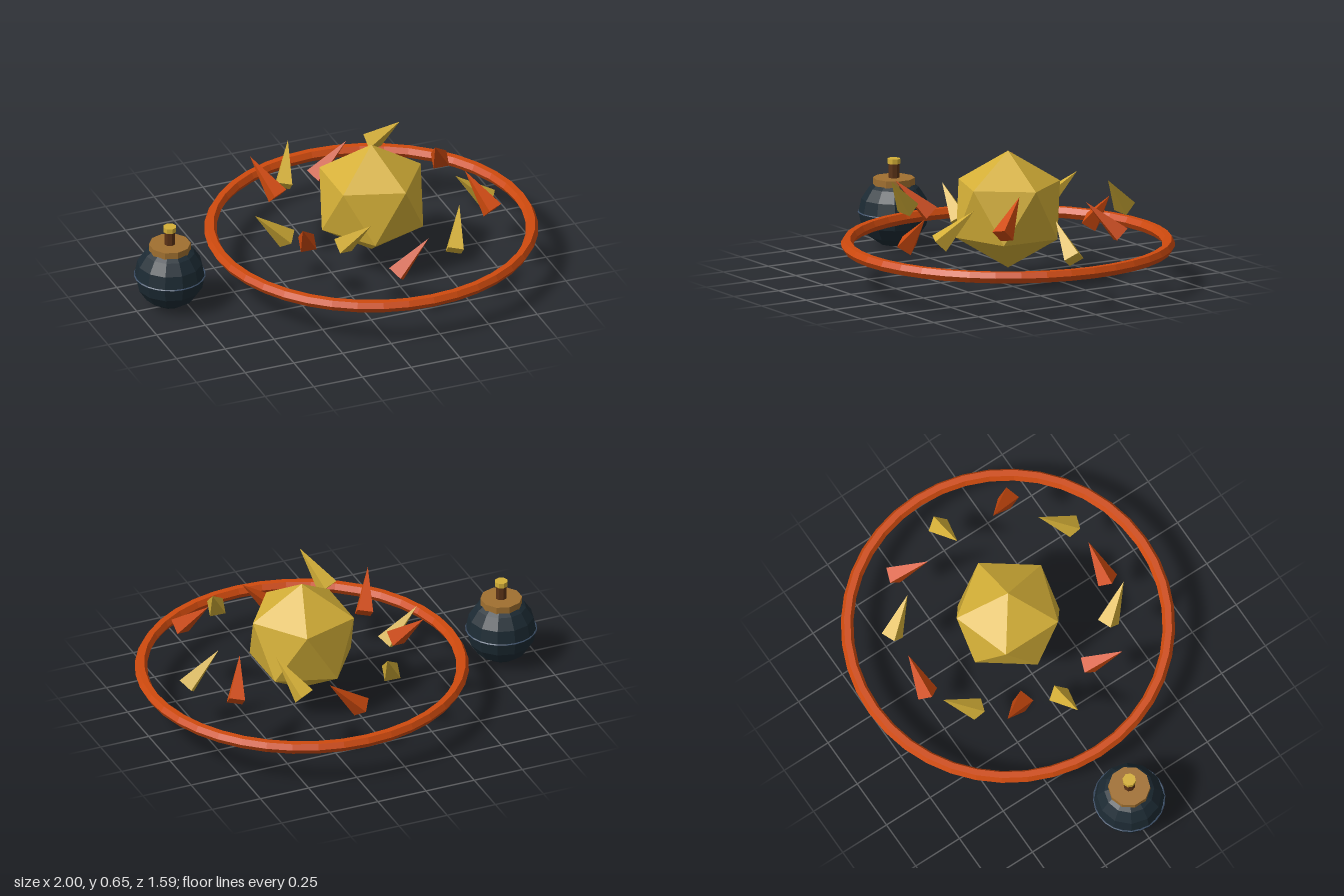
import * as THREE from 'three';

const paint = (name, color) => {
  const m = new THREE.MeshStandardMaterial({ color });
  m.name = name;
  return m;
};

// Faceted copy of a geometry
function facet(geometry) {
  const g = geometry.index ? geometry.toNonIndexed() : geometry;
  g.computeVertexNormals();
  return g;
}

function add(parent, name, geometry, material, x, y, z) {
  const mesh = new THREE.Mesh(facet(geometry), material);
  mesh.name = name;
  mesh.position.set(x, y, z);
  parent.add(mesh);
  return mesh;
}

export function createModel() {
  const gold = paint('gold', 0xd4af37);
  const orange = paint('burnt orange', 0xcf4a0e);
  const navy = paint('dark slate', 0x1c2a33);
  const steel = paint('blue steel', 0x3d5068);
  const brass = paint('brass', 0xa07030);
  const brown = paint('dark brown', 0x5c3317);

  const model = new THREE.Group();
  model.name = 'flaskAndBurst';

  // Round flask with an equator band, collar, stem and knob
  const flask = new THREE.Group();
  flask.name = 'flask';
  flask.position.x = -0.83;
  model.add(flask);
  const r = 0.168;
  add(flask, 'flaskBody', new THREE.SphereGeometry(r, 12, 8), navy, 0, r, 0);
  add(flask, 'flaskBand', new THREE.TorusGeometry(r, 0.004, 4, 24).rotateX(Math.PI / 2), steel, 0, r, 0);
  add(flask, 'collar', new THREE.CylinderGeometry(0.1, 0.1, 0.04, 10), brass, 0, 0.313, 0);
  add(flask, 'stem', new THREE.CylinderGeometry(0.027, 0.027, 0.08, 8), brown, 0, 0.368, 0);
  add(flask, 'knob', new THREE.CylinderGeometry(0.032, 0.032, 0.024, 8), gold, 0, 0.413, 0);

  // Crystal core, ring and flying shards
  const burst = new THREE.Group();
  burst.name = 'burst';
  burst.position.x = 0.205;
  model.add(burst);

  // Core stands on one of its corners
  const core = new THREE.IcosahedronGeometry(0.284, 0).rotateZ(-Math.atan(2 / (1 + Math.sqrt(5))));
  add(burst, 'core', core, gold, 0, 0.368, 0);

  add(burst, 'ring', new THREE.TorusGeometry(0.765, 0.03, 6, 40).rotateX(Math.PI / 2), orange, 0, 0.199, 0);

  // Shards circle the core at three heights, each tilted about its own turned axis
  const tilt = 0.81;
  for (let i = 0; i < 12; i++) {
    const a = (i * Math.PI) / 6;
    const shape = new THREE.ConeGeometry(0.0535, 0.229, 4)
      .rotateY(-a)
      .rotateZ(tilt)
      .rotateY(2 * a);
    add(burst, 'shard' + (i + 1), shape, i % 2 ? orange : gold,
      0.515 * Math.cos(a), 0.311 + 0.065 * (i % 3), -0.515 * Math.sin(a));
  }

  return model;
}
